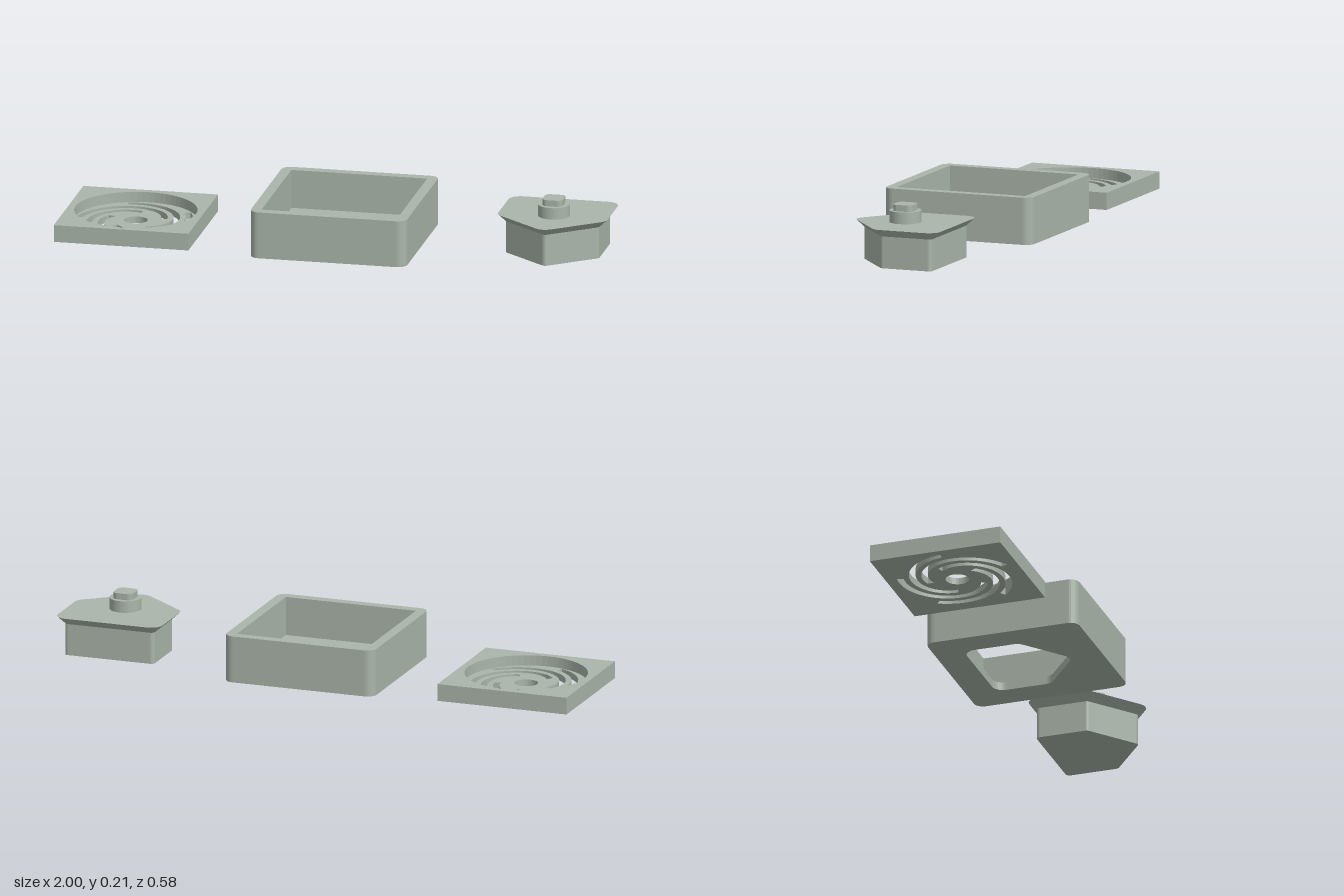
import * as THREE from 'three';

const sage = new THREE.MeshStandardMaterial({ color: 0xaab5aa });
sage.name = 'sage grey';

// Rounds each corner of a counter-clockwise polygon; returns points
function rounded(corners, r, steps = 8) {
  const out = [];
  corners.forEach(([x, y], i) => {
    const n = corners.length;
    const p = new THREE.Vector2(x, y);
    const a = new THREE.Vector2(...corners[(i + n - 1) % n]).sub(p).normalize();
    const b = new THREE.Vector2(...corners[(i + 1) % n]).sub(p).normalize();
    const half = Math.acos(a.dot(b)) / 2;
    const bis = a.add(b).normalize();
    const c = p.clone().addScaledVector(bis, r / Math.sin(half));
    const mid = Math.atan2(-bis.y, -bis.x), sweep = Math.PI / 2 - half;
    for (let k = 0; k <= steps; k++) {
      const t = mid + sweep * (2 * k / steps - 1);
      out.push(new THREE.Vector2(c.x + r * Math.cos(t), c.y + r * Math.sin(t)));
    }
  });
  return out;
}

const square = (h) => [[-h, -h], [h, -h], [h, h], [-h, h]];

// Pentagon with a flat back and a point to the front (shape y is -z)
const pentagon = (half, back, shoulder, tip) =>
  [[0, -tip], [half, -shoulder], [half, back], [-half, back], [-half, -shoulder]];

// Upright slab from an outline with holes, between two heights
function slab(name, points, y0, y1, holes = []) {
  const shape = new THREE.Shape(points);
  holes.forEach((h) => shape.holes.push(new THREE.Path(h)));
  const geo = new THREE.ExtrudeGeometry(shape, { depth: y1 - y0, bevelEnabled: false });
  geo.rotateX(-Math.PI / 2).translate(0, y0, 0);
  const mesh = new THREE.Mesh(geo, sage);
  mesh.name = name;
  return mesh;
}

function circle(r, n = 64) {
  return Array.from({ length: n }, (_, i) => {
    const t = (i / n) * Math.PI * 2;
    return new THREE.Vector2(r * Math.cos(t), r * Math.sin(t));
  });
}

// Curved slot that winds outwards from the middle
function spiralSlot(start) {
  const inner = [], outer = [], n = 32, sweep = 2.88;
  for (let i = 0; i <= n; i++) {
    const t = start + sweep * i / n, r = 0.088 + 0.106 * i / n;
    inner.push(new THREE.Vector2(r * Math.cos(t), r * Math.sin(t)));
    outer.push(new THREE.Vector2((r + 0.025) * Math.cos(t), (r + 0.025) * Math.sin(t)));
  }
  return [...inner, ...outer.reverse()];
}

// Sloping band between two outlines with equal point counts
function flare(name, low, high, y0, y1) {
  const pos = [];
  low.forEach((_, i) => {
    const j = (i + 1) % low.length;
    const a = [low[i].x, y0, -low[i].y], b = [low[j].x, y0, -low[j].y];
    const c = [high[j].x, y1, -high[j].y], d = [high[i].x, y1, -high[i].y];
    pos.push(...a, ...b, ...c, ...a, ...c, ...d);
  });
  const geo = new THREE.BufferGeometry();
  geo.setAttribute('position', new THREE.Float32BufferAttribute(pos, 3));
  geo.computeVertexNormals();
  const mesh = new THREE.Mesh(geo, sage);
  mesh.name = name;
  return mesh;
}

function part(name, x, meshes) {
  const g = new THREE.Group();
  g.name = name;
  g.position.x = x;
  g.add(...meshes);
  return g;
}

export function createModel() {
  const model = new THREE.Group();
  model.name = 'drainSet';

  // Square grate: slotted floor under a round recess
  const slots = Array.from({ length: 5 }, (_, i) => spiralSlot(i * Math.PI * 2 / 5 + 0.3));
  const plate = square(0.249).map((p) => new THREE.Vector2(...p));
  model.add(part('grate', -0.751, [
    slab('grateFloor', plate, 0, 0.025, [circle(0.043, 32), ...slots]),
    slab('grateFrame', plate, 0.025, 0.063, [circle(0.223)]),
  ]));

  // Open tray with a pentagonal hole in its floor
  const outline = rounded(square(0.289), 0.035);
  const opening = rounded(pentagon(0.18, 0.18, 0.031, 0.175), 0.042);
  const inside = square(0.251).map((p) => new THREE.Vector2(...p));
  model.add(part('tray', 0.02, [
    slab('trayFloor', outline, 0, 0.03, [opening]),
    slab('trayWalls', outline, 0.03, 0.173, [inside]),
  ]));

  // Plug: body, flared lip, cap and two-step knob
  const body = rounded(pentagon(0.1725, 0.172, 0.024, 0.162), 0.015);
  const lip = rounded(pentagon(0.2025, 0.202, 0.038, 0.2), 0.045);
  const cap = new THREE.Mesh(new THREE.ShapeGeometry(new THREE.Shape(lip)), sage);
  cap.name = 'plugCap';
  cap.rotation.x = -Math.PI / 2;
  cap.position.y = 0.145;
  model.add(part('plug', 0.795, [
    slab('plugBody', body, 0, 0.117),
    flare('plugLip', body, lip, 0.117, 0.145),
    cap,
    slab('knobBase', circle(0.058, 48), 0.145, 0.188),
    slab('knobTop', rounded(square(0.038), 0.02), 0.188, 0.211),
  ]));

  return model;
}
